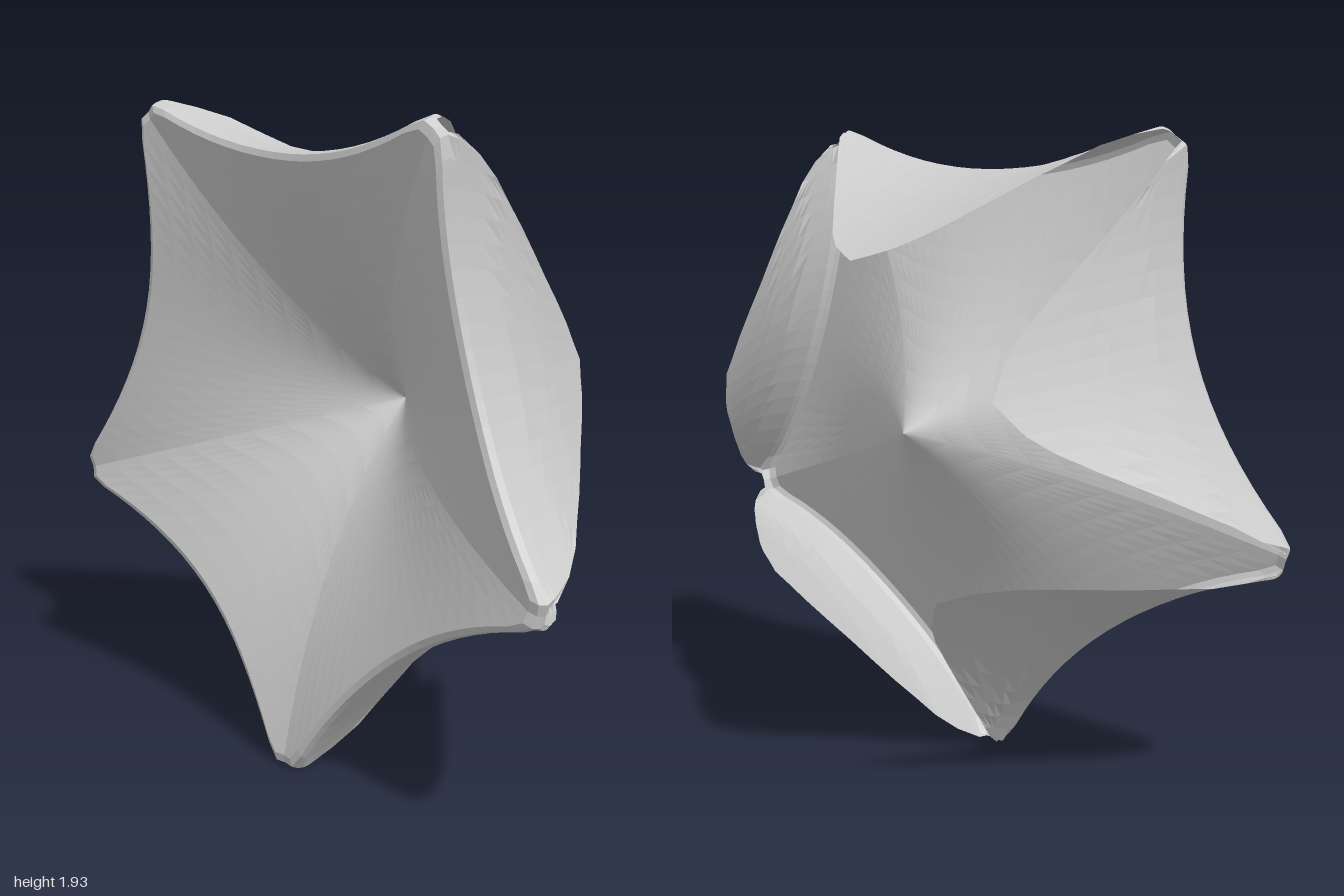
import * as THREE from 'three';

const TIP = 1.05; // distance from the centre to an arm tip
const COLS = 20, FRONT_ROWS = 10, FLAP_ROWS = 8;

// Piecewise linear lookup in a short list of [x, y] pairs
function lookup(pairs, x) {
  if (x <= pairs[0][0]) return pairs[0][1];
  for (let i = 1; i < pairs.length; i++) {
    const [x0, y0] = pairs[i - 1], [x1, y1] = pairs[i];
    if (x <= x1) return y0 + (y1 - y0) * (x - x0) / (x1 - x0);
  }
  return pairs[pairs.length - 1][1];
}

// Flap: middle-line height by depth, then free edge depth and half width
const FLAP_HEIGHT = [[-0.36, 0.51], [-0.05, 0.665], [0, 0.686], [0.15, 0.74], [0.3, 0.755]];
const EDGE_DEPTH = [[0, -0.36], [0.25, -0.285], [0.42, -0.14], [1, 0.3]];
const EDGE_WIDTH = [[0, 0], [0.25, 0.13], [0.42, 0.25], [1, 0.6]];

// Limit the radius so that the arm tips are rounded
function roundTip(x, y) {
  const k = Math.min(1, TIP / Math.hypot(x, y));
  return [x * k, y * k];
}

// Hollow trumpet-shaped dish, a little higher between the arms
function dishPoint(u, s) {
  const [rx, ry] = roundTip(0.665 * u, 0.755 + 0.16 * u * u);
  const x = rx * s, y = ry * s;
  const z = -0.13 + 0.61 * (1 - Math.exp(-1.5 * Math.hypot(x, y)))
    + (0.012 + 0.033 * (1 - u * u)) * s * s;
  return [x, y, z];
}

// Flap folded back from the rim, tapering to a blunt point
function flapPoint(u, v) {
  const [rx, ry, rz] = dishPoint(u, 1);
  const a = Math.abs(u);
  const startZ = rz - 0.035;
  if (v === 0) return [rx, ry, startZ];
  const x = THREE.MathUtils.lerp(rx, Math.sign(u) * lookup(EDGE_WIDTH, a), v);
  const z = THREE.MathUtils.lerp(startZ, lookup(EDGE_DEPTH, a), v);
  const [fx, fy] = roundTip(x, lookup(FLAP_HEIGHT, z) + 0.16 * (x / 0.665) ** 2);
  return [fx, fy, z];
}

// One fifth of the star: dish sector, rounded fold and flap as one sheet
function sectorGeometry() {
  const rows = [];
  for (let j = 0; j <= FRONT_ROWS; j++) rows.push(u => dishPoint(u, 0.965 * j / FRONT_ROWS));
  rows.push(u => {
    const [x, y, z] = dishPoint(u, 0.99);
    return [x, y, z - 0.012];
  });
  for (let j = 0; j <= FLAP_ROWS; j++) rows.push(u => flapPoint(u, j / FLAP_ROWS));

  const positions = [], index = [];
  rows.forEach((row, j) => {
    for (let i = 0; i <= COLS; i++) {
      positions.push(...row(-1 + 2 * i / COLS));
      if (j === 0 || i === COLS) continue;
      const a = (j - 1) * (COLS + 1) + i, b = a + 1;
      const c = a + COLS + 1, d = c + 1;
      if (j > 1) index.push(a, b, d);
      index.push(a, d, c);
    }
  });
  const geometry = new THREE.BufferGeometry();
  geometry.setAttribute('position', new THREE.Float32BufferAttribute(positions, 3));
  geometry.setIndex(index);
  geometry.computeVertexNormals();
  return geometry;
}

export function createModel() {
  const group = new THREE.Group();
  group.name = 'foldedStar';
  const material = new THREE.MeshStandardMaterial({
    color: 0xcccccc, flatShading: true, side: THREE.DoubleSide,
  });
  const geometry = sectorGeometry();
  // Five equal sectors around the centre, one arm pointing down
  for (let k = 0; k < 5; k++) {
    const sector = new THREE.Mesh(geometry, material);
    sector.name = `starSector${k + 1}`;
    sector.position.y = TIP;
    sector.rotation.z = k * Math.PI * 2 / 5;
    group.add(sector);
  }
  return group;
}
